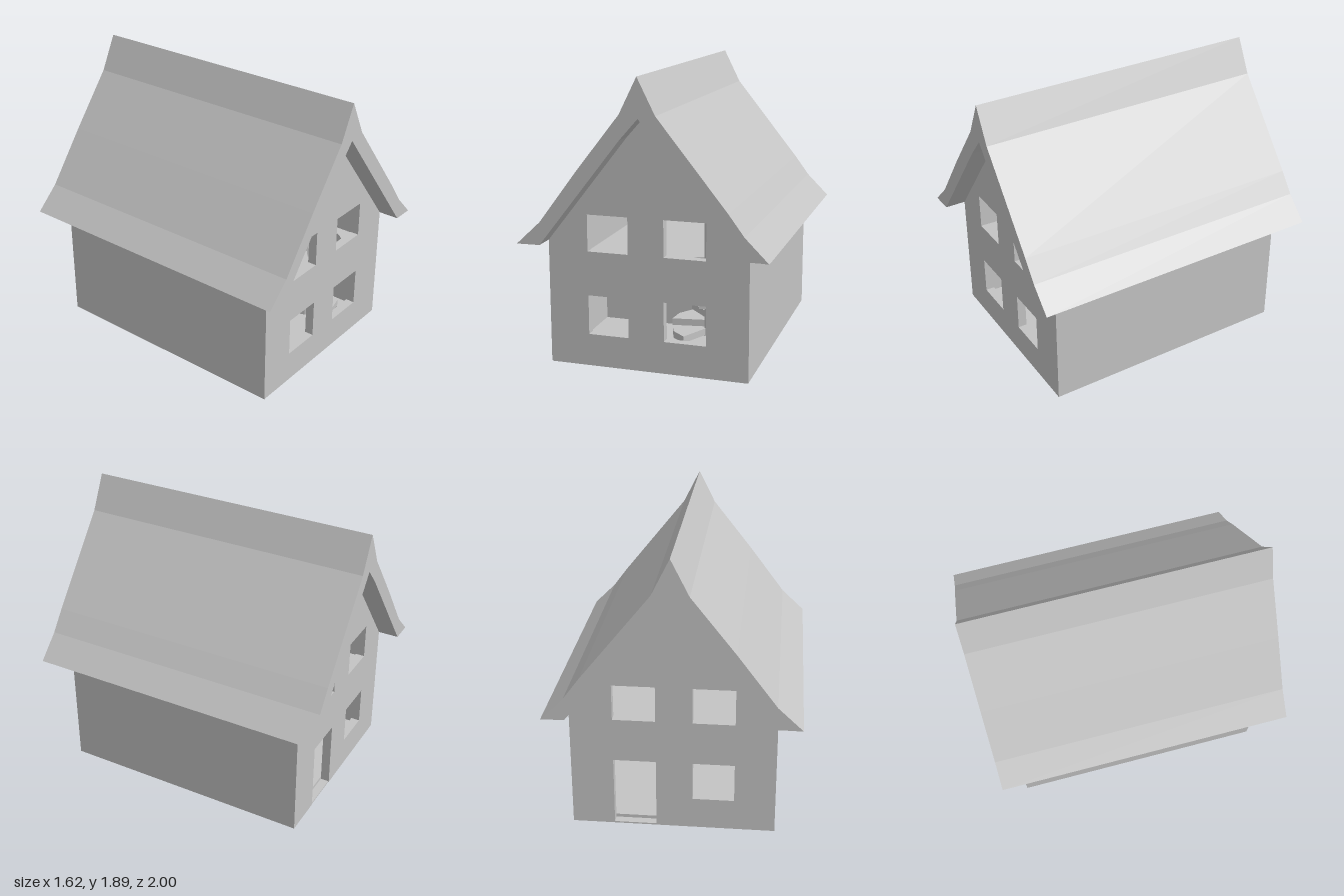
import * as THREE from 'three';

export function createModel() {
  const house = new THREE.Group();
  house.name = 'house';
  const grey = new THREE.MeshStandardMaterial({ color: 0xc4c4c4 });
  grey.name = 'plain grey';

  const add = (name, geo, x = 0, y = 0, z = 0) => {
    const mesh = new THREE.Mesh(geo, grey);
    mesh.name = name;
    mesh.position.set(x, y, z);
    house.add(mesh);
    return mesh;
  };
  const shapeOf = (pts) => new THREE.Shape(pts.map(([x, y]) => new THREE.Vector2(x, y)));
  const extrude = (shape, depth, curveSegments = 8) =>
    new THREE.ExtrudeGeometry(shape, { depth, bevelEnabled: false, curveSegments });
  const rect = (x0, x1, y0, y1) =>
    new THREE.Path([[x0, y0], [x1, y0], [x1, y1], [x0, y1]].map(([x, y]) => new THREE.Vector2(x, y)));

  const T = 0.06, W = 0.66, D = 0.86, FLOOR = 0.62;

  // Gable walls; their upper edges run slightly into the roof
  const gable = (withDoor) => {
    const outline = [[-W, 0.005], [W, 0.005], [W, 0.84], [0, 1.67], [-0.12, 1.53], [-W, 0.84]];
    if (withDoor) outline.splice(1, 0, [0.11, 0.005], [0.11, 0.475], [0.385, 0.475], [0.385, 0.005]);
    const s = shapeOf(outline);
    s.holes.push(rect(-0.395, -0.125, 0.765, 1.005), rect(0.11, 0.385, 0.765, 1.005), rect(-0.395, -0.125, 0.215, 0.475));
    if (!withDoor) s.holes.push(rect(0.11, 0.385, 0.215, 0.475));
    return extrude(s, T);
  };
  add('frontWall', gable(false), 0, 0, D - T);
  add('backWall', gable(true), 0, 0, -D);

  // Side walls
  for (const side of [-1, 1]) {
    add(side > 0 ? 'leftWall' : 'rightWall', new THREE.BoxGeometry(T, 0.87, 2 * (D - T)), side * (W - T / 2), 0.44, 0);
  }

  // Ground slab and door sill
  add('groundFloor', new THREE.BoxGeometry(2 * (W - T), 0.03, 2 * (D - T)), 0, 0.017, 0);
  add('basePlate', new THREE.BoxGeometry(2 * W - 0.01, 0.01, 2 * D - 0.01), 0, 0.005, 0);

  // Upper floor with a round stair opening
  const stairX = 0.3, stairZ = 0.5, stairR = 0.24;
  const inX = W - T, inZ = D - T;
  const upper = shapeOf([[-inX, -inZ], [inX, -inZ], [inX, inZ], [-inX, inZ]]);
  upper.holes.push(new THREE.Path().absarc(stairX, -stairZ, stairR + 0.01, 0, Math.PI * 2, true));
  add('upperFloor', extrude(upper, 0.05, 16).rotateX(-Math.PI / 2), 0, FLOOR - 0.05, 0);

  // Ground floor partition
  add('partition', new THREE.BoxGeometry(0.65, FLOOR - 0.06, 0.05), -0.275, FLOOR / 2, 0);

  // Spiral stair: a post with wedge steps
  add('stairPost', new THREE.CylinderGeometry(0.028, 0.028, 1.22, 16), stairX, 0.63, stairZ);
  const half = THREE.MathUtils.degToRad(29);
  const wedge = shapeOf([[0, 0], [stairR * Math.cos(half), -stairR * Math.sin(half)], [stairR, 0],
    [stairR * Math.cos(half), stairR * Math.sin(half)]]);
  const stepGeo = extrude(wedge, 0.045).rotateX(-Math.PI / 2);
  for (let i = 0; i < 11; i++) {
    const step = add('stairStep', stepGeo, stairX, 0.015 + 0.05 * i, stairZ);
    step.rotation.y = -THREE.MathUtils.degToRad(200 + 55 * (i - 4));
  }

  // Steep roof with flared eaves and a raised ridge
  const roof = shapeOf([
    [-0.005, 1.895], [-0.12, 1.665], [-0.4, 1.31], [-0.655, 0.97], [-0.815, 0.82], [-0.66, 0.822],
    [-0.12, 1.51], [0, 1.645], [0.66, 0.822], [0.76, 0.822], [0.81, 0.82], [0.66, 0.97],
    [0.56, 1.105], [0.11, 1.665],
  ]);
  add('roof', extrude(roof, 2), 0, 0, -1);

  return house;
}
